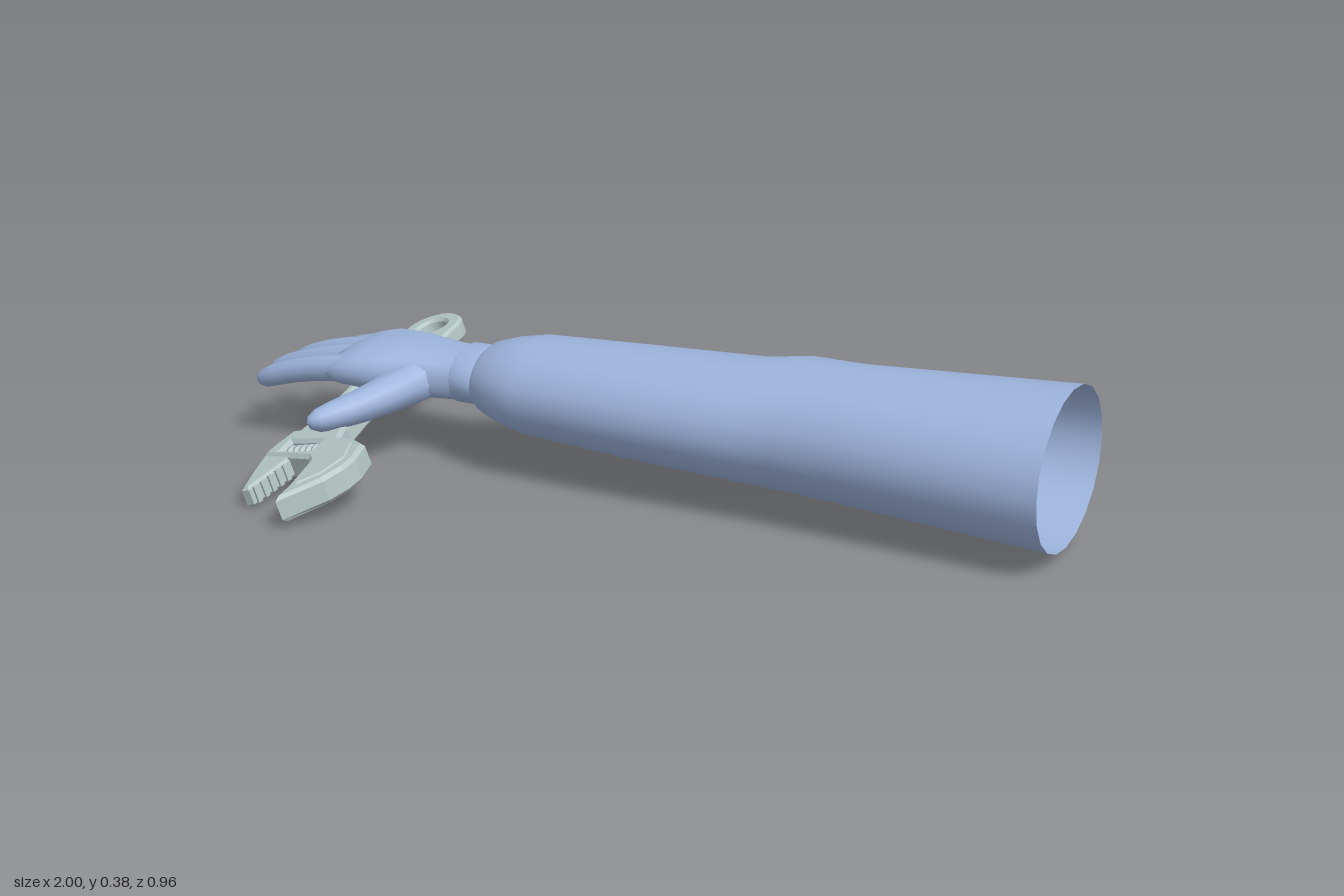
import * as THREE from 'three';

const sleeveBlue = new THREE.MeshStandardMaterial({ color: 0x9db4dc, side: THREE.DoubleSide });
sleeveBlue.name = 'softBlue';
const steel = new THREE.MeshStandardMaterial({ color: 0xb4c6c5 });
steel.name = 'paleSteel';

// Skin through rounded cross-sections [x, y, z, halfWidth, halfHeight] along a path.
function loft(name, sections, sides, { planar = false, power = 1 } = {}) {
  const pos = [], index = [];
  const centres = sections.map(s => new THREE.Vector3(s[0], s[1], s[2]));
  const up = new THREE.Vector3(0, 1, 0);
  const round = v => Math.sign(v) * Math.abs(v) ** power;
  sections.forEach((s, i) => {
    const t = planar ? new THREE.Vector3(-1, 0, 0)
      : centres[Math.min(i + 1, centres.length - 1)].clone()
        .sub(centres[Math.max(i - 1, 0)]).normalize();
    const side = t.clone().cross(up).normalize();
    const top = side.clone().cross(t);
    for (let j = 0; j < sides; j++) {
      const a = (j / sides) * Math.PI * 2;
      const p = centres[i].clone()
        .addScaledVector(side, s[3] * round(Math.cos(a)))
        .addScaledVector(top, s[4] * round(Math.sin(a)));
      pos.push(p.x, p.y, p.z);
      if (i === sections.length - 1) continue;
      const k = (j + 1) % sides, r = i * sides, n = r + sides;
      index.push(r + j, n + j, r + k, r + k, n + j, n + k);
    }
  });
  const g = new THREE.BufferGeometry();
  g.setAttribute('position', new THREE.Float32BufferAttribute(pos, 3));
  g.setIndex(index);
  g.computeVertexNormals();
  const mesh = new THREE.Mesh(g, sleeveBlue);
  mesh.name = name;
  return mesh;
}

// Round-ended finger from a start, middle and tip.
function finger(name, start, mid, tip, r0, r1) {
  const curve = new THREE.QuadraticBezierCurve3(
    new THREE.Vector3(...start), new THREE.Vector3(...mid), new THREE.Vector3(...tip));
  const sections = [0, 0.2, 0.4, 0.6, 0.8, 0.92, 0.98, 1].map(t => {
    const p = curve.getPoint(t);
    const cap = t > 0.98 ? 0.05 : t > 0.95 ? 0.55 : t > 0.9 ? 0.88 : 1;
    const r = (r0 + (r1 - r0) * t) * cap;
    return [p.x, p.y, p.z, r, r];
  });
  return loft(name, sections, 10);
}

// Flat wrench part: outline in x, z, extruded evenly about y = 0.
function plate(name, shape, thickness, bevel = 0.007) {
  const g = new THREE.ExtrudeGeometry(shape, {
    depth: thickness - 2 * bevel, bevelEnabled: true, bevelThickness: bevel,
    bevelSize: bevel, bevelOffset: -bevel, bevelSegments: 1, curveSegments: 20,
  });
  g.translate(0, 0, -(thickness - 2 * bevel) / 2);
  g.rotateX(Math.PI / 2);
  const mesh = new THREE.Mesh(g, steel);
  mesh.name = name;
  return mesh;
}
const outline = pts => new THREE.Shape(pts.map(p => new THREE.Vector2(...p)));

function createArm() {
  const arm = new THREE.Group();
  arm.name = 'arm';
  // open sleeve, narrowing towards the wrist
  arm.add(loft('sleeve', [
    [1, 0.202, -0.13, 0.226, 0.182],
    [0.5, 0.201, -0.137, 0.193, 0.153],
    [0.37, 0.203, -0.142, 0.19, 0.15],
    [0.27, 0.199, -0.134, 0.18, 0.14],
    [0, 0.2, -0.13, 0.172, 0.128],
    [-0.28, 0.2, -0.135, 0.158, 0.113],
    [-0.35, 0.199, -0.137, 0.136, 0.1],
    [-0.4, 0.199, -0.14, 0.113, 0.084],
    [-0.42, 0.199, -0.141, 0.098, 0.068],
  ], 20, { planar: true }));
  // wrist band
  arm.add(loft('cuff', [
    [-0.41, 0.2, -0.142, 0.094, 0.062],
    [-0.418, 0.2, -0.142, 0.1, 0.067],
    [-0.472, 0.2, -0.142, 0.1, 0.067],
    [-0.48, 0.2, -0.142, 0.086, 0.059],
  ], 20, { planar: true }));
  // palm, closed at the knuckles
  arm.add(loft('palm', [
    [-0.465, 0.198, -0.143, 0.086, 0.058],
    [-0.54, 0.195, -0.148, 0.098, 0.06],
    [-0.62, 0.2, -0.138, 0.124, 0.062],
    [-0.7, 0.203, -0.137, 0.141, 0.054],
    [-0.75, 0.199, -0.135, 0.14, 0.044],
    [-0.785, 0.192, -0.13, 0.122, 0.03],
    [-0.8, 0.189, -0.125, 0.1, 0.003],
  ], 20, { planar: true, power: 0.8 }));
  const fingers = [
    ['littleFinger', [-0.69, 0.2, -0.235], [-0.82, 0.195, -0.262], [-0.905, 0.145, -0.275], 0.03, 0.021],
    ['ringFinger', [-0.7, 0.205, -0.18], [-0.87, 0.195, -0.194], [-0.98, 0.135, -0.205], 0.034, 0.024],
    ['middleFinger', [-0.7, 0.207, -0.118], [-0.88, 0.195, -0.12], [-1, 0.13, -0.123], 0.034, 0.025],
    ['indexFinger', [-0.7, 0.205, -0.04], [-0.87, 0.195, -0.035], [-0.985, 0.135, -0.04], 0.034, 0.025],
    ['thumb', [-0.57, 0.19, -0.09], [-0.62, 0.16, 0.06], [-0.715, 0.142, 0.19], 0.054, 0.029],
  ];
  fingers.forEach(f => arm.add(finger(...f)));
  return arm;
}

function createWrench() {
  const wrench = new THREE.Group();
  wrench.name = 'wrench';

  // handle frame with hanging ring and recessed panel
  const handle = outline([
    [0.065, -0.39], [0.068, -0.29], [0.048, -0.1], [0.046, 0.02], [0.058, 0.12], [0.075, 0.17],
    [-0.085, 0.17], [-0.082, 0.12], [-0.07, 0], [-0.075, -0.1], [-0.085, -0.29],
  ]);
  handle.lineTo(-0.085, -0.415);
  handle.absarc(-0.01, -0.415, 0.075, Math.PI, Math.PI * 2);
  const eye = new THREE.Path();
  eye.absarc(-0.01, -0.415, 0.037, 0, Math.PI * 2, true);
  const recess = new THREE.Path([
    [-0.055, -0.28], [0.038, -0.28], [0.022, -0.1], [0.02, 0.02], [0.03, 0.1],
    [-0.055, 0.1], [-0.044, 0], [-0.05, -0.1],
  ].map(p => new THREE.Vector2(...p)));
  handle.holes.push(eye, recess);
  wrench.add(plate('handle', handle, 0.046));
  wrench.add(plate('handlePanel', outline([
    [-0.065, -0.3], [0.05, -0.3], [0.03, -0.1], [0.03, 0.02], [0.04, 0.11],
    [-0.065, 0.11], [-0.055, 0], [-0.06, -0.1],
  ]), 0.026, 0.002));

  // head with fixed jaw and a window for the adjuster
  const head = outline([
    [0.058, 0.12], [0.08, 0.185], [0.133, 0.2], [0.175, 0.23], [0.19, 0.3], [0.183, 0.345],
    [0.16, 0.395], [0.08, 0.478], [0.077, 0.42], [0.063, 0.3], [0.045, 0.275],
    [-0.03, 0.258], [-0.1, 0.245], [-0.097, 0.2], [-0.085, 0.13],
  ]);
  head.holes.push(new THREE.Path([
    [-0.055, 0.185], [0.035, 0.195], [0.035, 0.242], [-0.055, 0.232],
  ].map(p => new THREE.Vector2(...p))));
  wrench.add(plate('headAndFixedJaw', head, 0.064, 0.009));
  wrench.add(plate('fixedJawFace', outline([
    [0.09, 0.23], [0.14, 0.225], [0.165, 0.3], [0.145, 0.37], [0.1, 0.415], [0.085, 0.31],
  ]), 0.071, 0.004));

  // sliding jaw and its gripping teeth
  wrench.add(plate('slidingJaw', outline([
    [-0.107, 0.225], [-0.02, 0.24], [-0.02, 0.275], [-0.046, 0.4], [-0.066, 0.4], [-0.09, 0.31],
  ]), 0.05));
  for (let i = 0; i < 5; i++) {
    const t = i / 4;
    const tooth = new THREE.Mesh(new THREE.BoxGeometry(0.01, 0.04, 0.012), steel);
    tooth.name = 'jawTooth';
    tooth.position.set(-0.022 - 0.02 * t, 0, 0.285 + 0.098 * t);
    tooth.rotation.y = -0.2;
    wrench.add(tooth);
  }

  // ridged adjusting screw
  const profile = [new THREE.Vector2(0, -0.043)];
  for (let i = 0; i < 5; i++) {
    const y = -0.043 + i * 0.0172;
    profile.push(new THREE.Vector2(0.02, y), new THREE.Vector2(0.029, y + 0.004),
      new THREE.Vector2(0.029, y + 0.01), new THREE.Vector2(0.02, y + 0.014));
  }
  profile.push(new THREE.Vector2(0, 0.043));
  const screw = new THREE.Mesh(new THREE.LatheGeometry(profile, 14), steel);
  screw.name = 'adjustingScrew';
  screw.rotation.z = Math.PI / 2;
  screw.position.set(-0.01, 0, 0.214);
  wrench.add(screw);

  // tilted under the palm
  wrench.rotation.set(0.175, 0, 0.25);
  wrench.position.set(-0.7, 0.108, 0);
  return wrench;
}

export function createModel() {
  const model = new THREE.Group();
  model.name = 'armWithWrench';
  model.add(createArm(), createWrench());
  // rest on the ground
  model.updateMatrixWorld(true);
  const lowest = new THREE.Box3().setFromObject(model, true).min.y;
  model.children.forEach(c => { c.position.y -= lowest; });
  return model;
}
